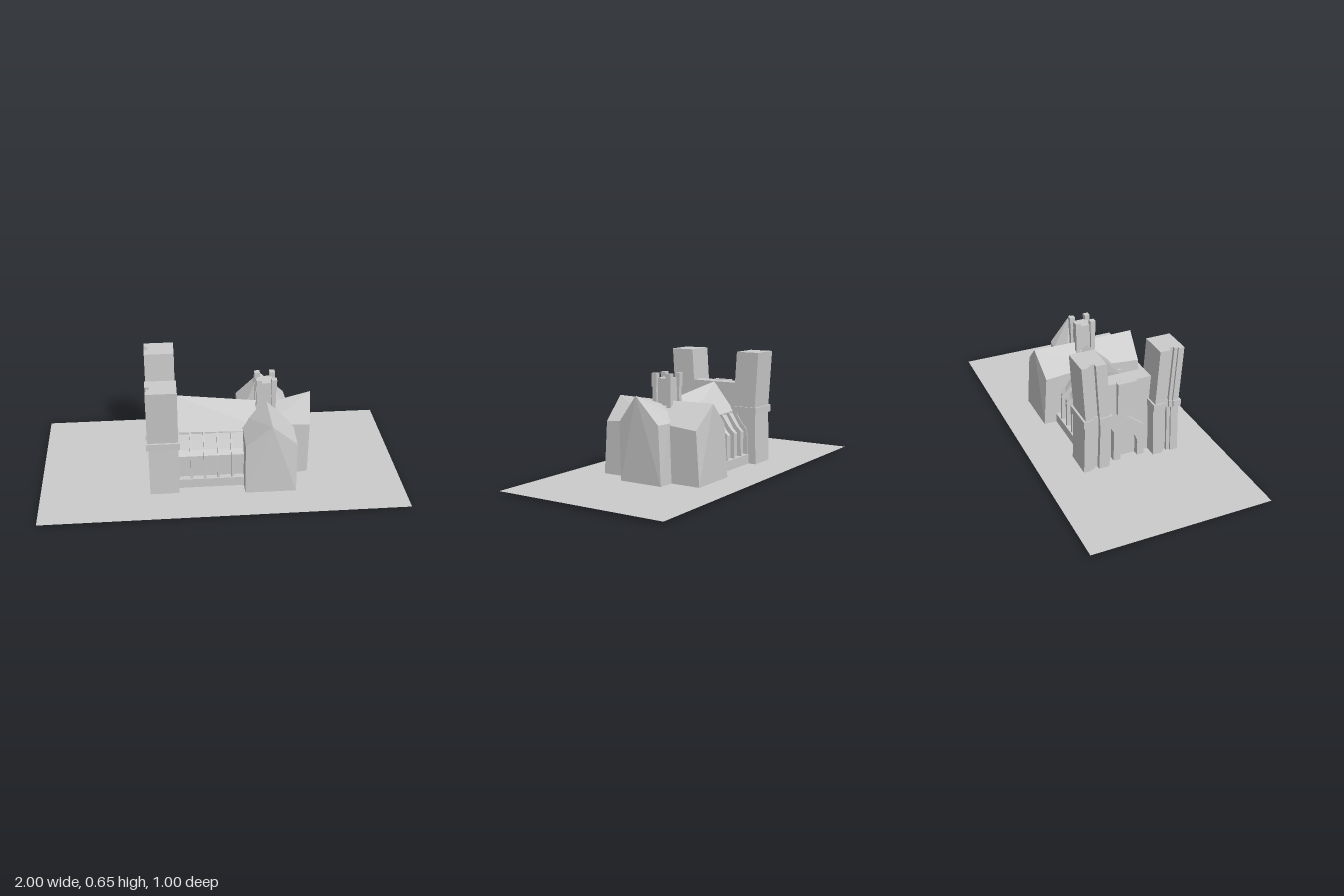
import * as THREE from 'three';
import { ConvexGeometry } from 'three/addons/geometries/ConvexGeometry.js';

const grey = new THREE.MeshStandardMaterial({ color: 0xcccccc, flatShading: true });
const thin = new THREE.MeshStandardMaterial({ color: 0xcccccc, flatShading: true, side: THREE.DoubleSide });

export function createModel() {
  const root = new THREE.Group();
  const add = (name, geo, mat = grey, parent = root) => {
    const m = new THREE.Mesh(geo, mat);
    m.name = name;
    parent.add(m);
    return m;
  };
  // box given by its limits
  const box = (name, x0, x1, y0, y1, z0, z1, parent = root) => {
    const g = new THREE.BoxGeometry(x1 - x0, y1 - y0, z1 - z0);
    g.translate((x0 + x1) / 2, (y0 + y1) / 2, (z0 + z1) / 2);
    return add(name, g, grey, parent);
  };
  const hull = (name, pts) => add(name, new ConvexGeometry(pts.map(p => new THREE.Vector3(...p))));
  const shapeOf = pts => new THREE.Shape(pts.map(p => new THREE.Vector2(...p)));

  // ground sheet
  const ground = add('ground', new THREE.PlaneGeometry(2, 1), thin);
  ground.rotation.x = -Math.PI / 2;
  ground.position.y = 0.015;

  // nave: walls and a steep roof whose ridge falls towards the crossing
  const naveEnd = (x, eave, ridge) => [
    [x, 0.005, 0.13], [x, 0.005, -0.13], [x, eave, 0.13], [x, eave, -0.13], [x, ridge, 0]];
  hull('nave', [...naveEnd(-0.25, 0.315, 0.475), ...naveEnd(0.26, 0.3, 0.415)]);

  // transept arms, each with a gable end that leans slightly
  for (const s of [1, -1]) {
    hull('transeptArm', [
      [0.12, 0.015, s * 0.305], [0.4, 0.015, s * 0.305],
      [0.12, 0.305, s * 0.285], [0.4, 0.305, s * 0.285], [0.26, 0.43, s * 0.3],
      [0.12, 0.005, 0], [0.4, 0.005, 0], [0.12, 0.33, 0], [0.4, 0.33, 0], [0.26, 0.425, 0]]);
  }

  // choir: ridge rises towards its gable
  hull('choir', [
    [0.26, 0.01, 0.13], [0.26, 0.01, -0.13], [0.26, 0.33, 0.11], [0.26, 0.33, -0.11], [0.26, 0.4, 0],
    [0.41, 0.015, 0.135], [0.41, 0.015, -0.135], [0.41, 0.33, 0.125], [0.41, 0.33, -0.125],
    [0.49, 0.015, 0.125], [0.49, 0.015, -0.13], [0.49, 0.33, 0.13], [0.49, 0.33, -0.115],
    [0.503, 0.475, 0.015]]);

  // side aisles: low plinth, wall with sloping roof, curved buttresses
  for (const s of [1, -1]) {
    const aisle = new THREE.Group();
    aisle.name = 'aisle';
    root.add(aisle);
    const [za, zb] = [s * 0.1, s * 0.232].sort((a, b) => a - b);
    box('aislePlinth', -0.25, 0.14, 0, 0.07, za, zb, aisle);
    const along = (name, pts, x0, x1) => {
      const g = new THREE.ExtrudeGeometry(shapeOf(pts.map(([z, y]) => [-s * z, y])),
        { depth: x1 - x0, bevelEnabled: false });
      g.rotateY(Math.PI / 2);
      g.translate(x0, 0, 0);
      return add(name, g, grey, aisle);
    };
    along('aisleWall', [[0.1, 0.05], [0.2, 0.05], [0.2, 0.2], [0.175, 0.225], [0.15, 0.265], [0.13, 0.3], [0.1, 0.3]], -0.25, 0.14);
    for (const x of [-0.24, -0.17, -0.095, -0.02, 0.055]) {
      along('buttress', [[0.12, 0.06], [0.225, 0.06], [0.222, 0.215], [0.195, 0.24], [0.17, 0.275],
        [0.145, 0.31], [0.12, 0.31]], x - 0.006, x + 0.006);
    }
  }

  // crossing tower with four corner turrets
  const cx = 0.255, cz = -0.01;
  box('crossingTower', cx - 0.04, cx + 0.04, 0.3, 0.545, cz - 0.042, cz + 0.042);
  for (const sx of [1, -1]) for (const sz of [1, -1]) {
    const px = cx + sx * 0.042, pz = cz + sz * 0.045;
    box('turretShaft', px - 0.012, px + 0.012, 0.36, 0.51, pz - 0.012, pz + 0.012);
    box('turretHead', px - 0.015, px + 0.015, 0.5, 0.572, pz - 0.015, pz + 0.015);
  }

  // front towers: grooved footprint, drawn in at mid height and spreading upwards
  const towerBlock = (name, s, pts, y0, y1, spread) => {
    const g = new THREE.ExtrudeGeometry(shapeOf(pts.map(([x, z]) => [x, -s * z])),
      { depth: y1 - y0, steps: 2, bevelEnabled: false });
    g.rotateX(-Math.PI / 2);
    g.translate(0, y0, 0);
    const p = g.attributes.position;
    for (let i = 0; i < p.count; i++) {
      p.setZ(i, p.getZ(i) + s * spread * (p.getY(i) - y0) / (y1 - y0));
    }
    g.computeVertexNormals();
    return add(name, g);
  };
  const footprint = (x0, x1, z0, z1) => [
    [x0, z0], [x0, 0.19], [x0 + 0.025, 0.19], [x0 + 0.025, 0.215], [x0 + 0.01, 0.215],
    [x0 + 0.01, 0.235], [x0, 0.235], [x0, z1], [x1, z1], [x1, z0]];
  for (const s of [1, -1]) {
    towerBlock('towerBase', s, footprint(-0.4, -0.24, 0.13, 0.278), 0.015, 0.31, -0.008);
    towerBlock('towerBand', s, footprint(-0.412, -0.232, 0.12, 0.28), 0.3, 0.34, 0);
    towerBlock('towerTop', s, footprint(-0.405, -0.24, 0.13, 0.268), 0.335, 0.652, 0.02);
  }

  // facade between the towers
  box('facade', -0.33, -0.24, 0.015, 0.475, -0.14, 0.14);
  box('facadeCentre', -0.35, -0.32, 0.29, 0.478, -0.06, 0.05);

  // portal with arched opening under a small gable
  const portal = shapeOf([[-0.09, 0.015], [-0.05, 0.015], [-0.05, 0.1]]);
  portal.quadraticCurveTo(-0.045, 0.15, 0, 0.18);
  portal.quadraticCurveTo(0.045, 0.15, 0.05, 0.1);
  for (const [z, y] of [[0.05, 0.015], [0.09, 0.015], [0.09, 0.2], [0, 0.27], [-0.09, 0.2]]) portal.lineTo(z, y);
  const pg = new THREE.ExtrudeGeometry(portal, { depth: 0.04, bevelEnabled: false, curveSegments: 5 });
  pg.rotateY(Math.PI / 2);
  pg.translate(-0.365, 0, 0);
  add('portal', pg);

  return root;
}
